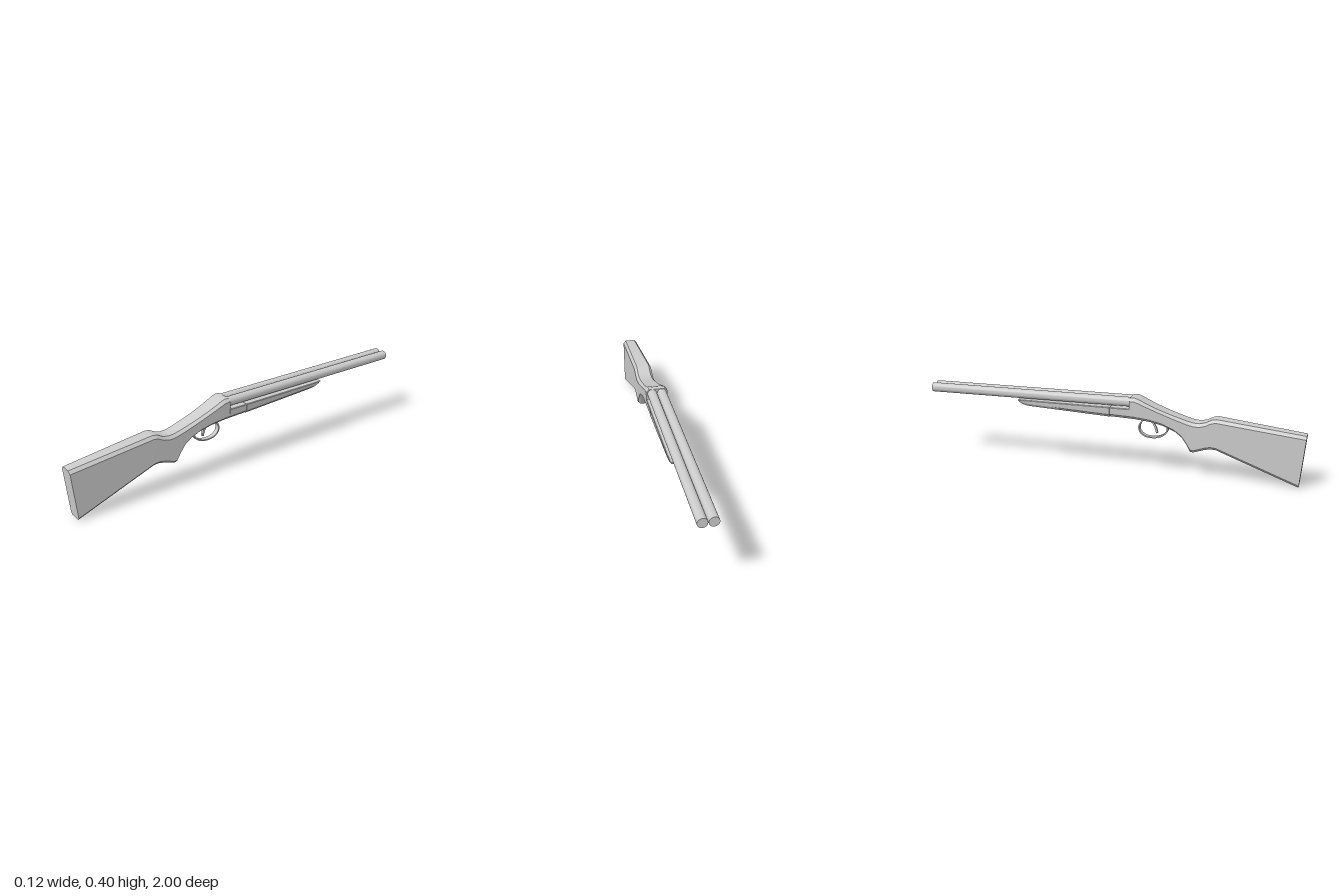
import * as THREE from 'three';
import { toCreasedNormals } from 'three/addons/utils/BufferGeometryUtils.js';

const mat = new THREE.MeshStandardMaterial({ color: 0xcccccc, side: THREE.DoubleSide });

function add(group, name, geometry, crease = 0.5) {
  const mesh = new THREE.Mesh(toCreasedNormals(geometry, crease), mat);
  mesh.name = name;
  group.add(mesh);
  return mesh;
}

// Loft of chamfered eight-sided sections, running from the butt forward.
// Each: top z, top y, bottom z, bottom y, half width top, half width bottom, top chamfer, bottom chamfer
function loft(sections) {
  const pos = [], idx = [], n = 8;
  for (const [zt, yt, zb, yb, wt, wb, ct, cb] of sections) {
    const h = yt - yb;
    const put = (x, y) => pos.push(x, y, zb + (zt - zb) * (y - yb) / h);
    put(wb - cb * 0.9, yb); put(wb, yb + cb);
    put(wt, yt - ct); put(wt - ct * 0.85, yt);
    put(-wt + ct * 0.85, yt); put(-wt, yt - ct);
    put(-wb, yb + cb); put(-wb + cb * 0.9, yb);
  }
  const last = (sections.length - 1) * n;
  for (let s = 0; s < last; s += n) {
    for (let i = 0; i < n; i++) {
      const a = s + i, b = s + (i + 1) % n;
      idx.push(a, a + n, b, b, a + n, b + n);
    }
  }
  for (let i = 1; i < n - 1; i++) {
    idx.push(0, i, i + 1, last, last + i + 1, last + i);
  }
  const g = new THREE.BufferGeometry();
  g.setAttribute('position', new THREE.Float32BufferAttribute(pos, 3));
  g.setIndex(idx);
  return g;
}

// Band of given thickness following (z, y) points, extruded across x
function band(points, thickness, width) {
  const curve = new THREE.CatmullRomCurve3(points.map(([z, y]) => new THREE.Vector3(z, y, 0)));
  const outer = [], inner = [];
  for (let i = 0; i <= 24; i++) {
    const p = curve.getPoint(i / 24), t = curve.getTangent(i / 24);
    const dx = -t.y * thickness / 2, dy = t.x * thickness / 2;
    outer.push(new THREE.Vector2(p.x + dx, p.y + dy));
    inner.unshift(new THREE.Vector2(p.x - dx, p.y - dy));
  }
  const g = new THREE.ExtrudeGeometry(new THREE.Shape([...outer, ...inner]), { depth: width, bevelEnabled: false });
  return g.translate(0, 0, -width / 2).rotateY(-Math.PI / 2);
}

export function createModel() {
  const model = new THREE.Group();
  model.name = 'doubleBarrelLongArm';

  // Butt, grip and receiver in one continuous body
  add(model, 'stockAndReceiver', loft([
    [1.00, 0.268, 0.975, 0.003, 0.040, 0.040, 0.016, 0.012],
    [0.56, 0.318, 0.56, 0.160, 0.048, 0.048, 0.016, 0.013],
    [0.535, 0.314, 0.53, 0.162, 0.048, 0.048, 0.016, 0.013],
    [0.505, 0.298, 0.50, 0.155, 0.048, 0.048, 0.016, 0.013],
    [0.475, 0.290, 0.445, 0.137, 0.048, 0.048, 0.016, 0.013],
    [0.445, 0.291, 0.430, 0.140, 0.048, 0.048, 0.016, 0.013],
    [0.41, 0.299, 0.410, 0.175, 0.049, 0.048, 0.016, 0.013],
    [0.36, 0.314, 0.385, 0.211, 0.050, 0.048, 0.016, 0.013],
    [0.31, 0.330, 0.35, 0.238, 0.051, 0.049, 0.016, 0.013],
    [0.25, 0.352, 0.29, 0.264, 0.053, 0.051, 0.016, 0.013],
    [0.20, 0.373, 0.22, 0.280, 0.055, 0.053, 0.016, 0.013],
    [0.165, 0.390, 0.17, 0.286, 0.057, 0.055, 0.017, 0.013],
    [0.14, 0.399, 0.14, 0.289, 0.057, 0.055, 0.017, 0.013],
    [0.115, 0.399, 0.115, 0.290, 0.057, 0.055, 0.017, 0.013],
    [0.115, 0.343, 0.115, 0.290, 0.057, 0.055, 0.003, 0.013],
    [0.012, 0.343, 0.012, 0.294, 0.057, 0.055, 0.003, 0.013],
  ]));

  // Wooden fore-end under the barrels, with a rounded upswept tip
  add(model, 'foreEnd', loft([
    [0.010, 0.344, 0.010, 0.292, 0.058, 0.056, 0.003, 0.013],
    [-0.42, 0.346, -0.42, 0.313, 0.057, 0.055, 0.003, 0.013],
    [-0.46, 0.346, -0.455, 0.316, 0.056, 0.053, 0.003, 0.012],
    [-0.485, 0.346, -0.477, 0.323, 0.055, 0.051, 0.003, 0.010],
    [-0.495, 0.346, -0.492, 0.334, 0.053, 0.049, 0.003, 0.005],
  ]));

  // Twin barrels, side by side
  for (const side of [-1, 1]) {
    const barrel = add(model, side > 0 ? 'leftBarrel' : 'rightBarrel',
      new THREE.CylinderGeometry(0.0245, 0.0245, 1.13, 24).rotateX(Math.PI / 2));
    barrel.position.set(side * 0.0255, 0.3735, -0.435);
  }

  // Guard loop and curved trigger
  add(model, 'triggerGuard', band([
    [0.29, 0.275], [0.306, 0.245], [0.295, 0.215], [0.265, 0.196], [0.225, 0.189],
    [0.185, 0.196], [0.160, 0.217], [0.156, 0.245], [0.170, 0.270], [0.195, 0.288],
  ], 0.007, 0.026));
  add(model, 'trigger', band([
    [0.225, 0.290], [0.232, 0.262], [0.243, 0.238], [0.250, 0.213],
  ], 0.010, 0.012));

  return model;
}
